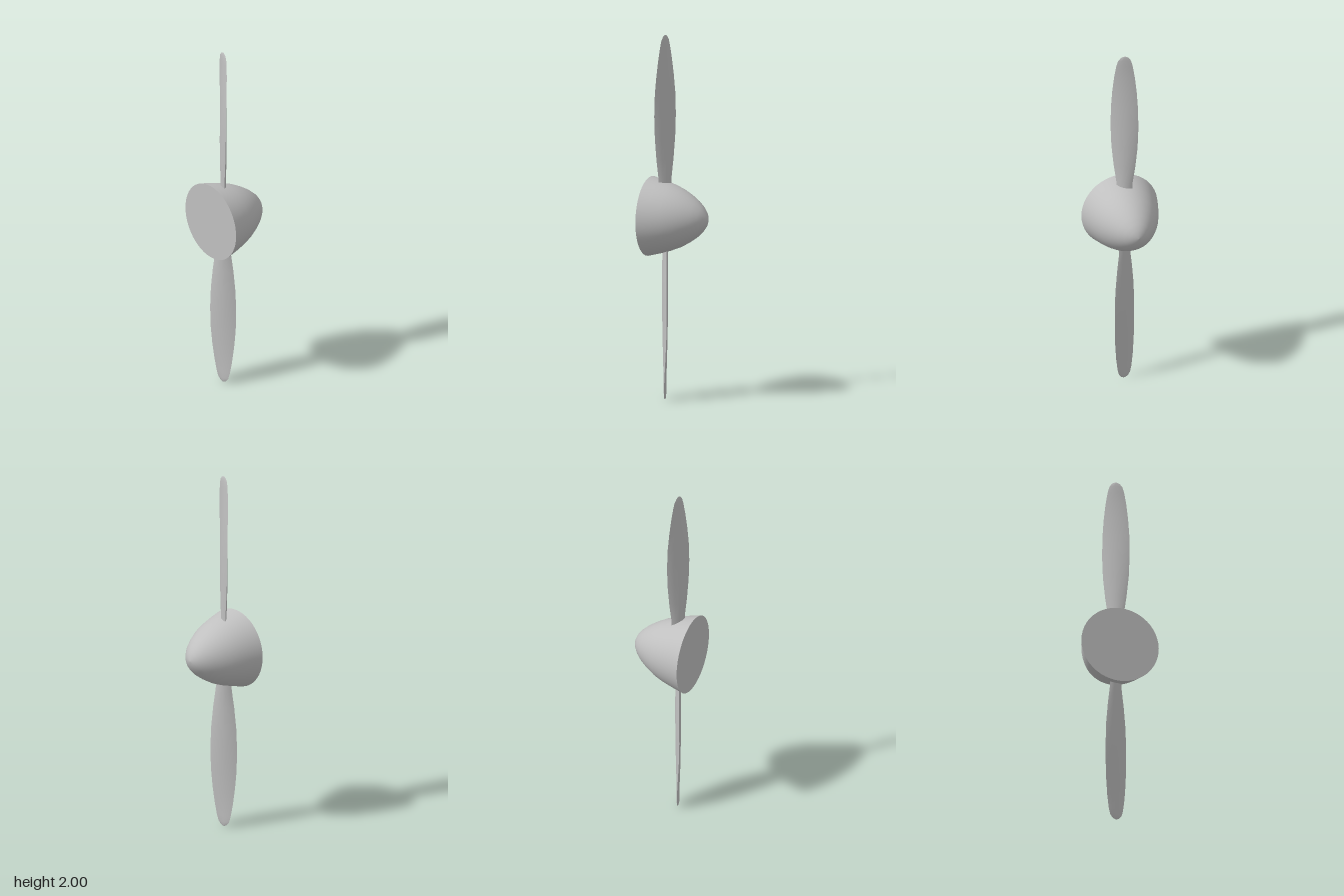
import * as THREE from 'three';
import { toCreasedNormals } from 'three/addons/utils/BufferGeometryUtils.js';

const HUB_Y = 1, BLADE_Z = 0.081;

// One blade pointing up from the hub axis: lens sections whose pitch flattens towards the tip
function bladeGeometry() {
  // height, half width in x, half depth in z, half thickness
  const sections = [
    [0.14, 0.034, 0.021, 0.015], [0.22, 0.039, 0.023, 0.015], [0.32, 0.052, 0.029, 0.016],
    [0.44, 0.063, 0.034, 0.016], [0.56, 0.067, 0.036, 0.015], [0.68, 0.066, 0.033, 0.013],
    [0.78, 0.061, 0.026, 0.011], [0.87, 0.053, 0.018, 0.008], [0.94, 0.043, 0.011, 0.006],
    [0.975, 0.034, 0.007, 0.005], [0.993, 0.02, 0.003, 0.003], [1, 0.006, 0.001, 0.001],
  ];
  const n = 12, pos = [], index = [];
  for (const [y, hx, hz, th] of sections) {
    const len = Math.hypot(hx, hz);
    for (let i = 0; i < n; i++) {
      const a = (i / n) * Math.PI * 2;
      const u = -Math.cos(a), off = th * Math.sign(Math.sin(a)) * (1 - u * u);
      pos.push(u * hx - (off * hz) / len, y, u * hz + (off * hx) / len);
    }
  }
  for (let j = 0; j < sections.length - 1; j++) {
    for (let i = 0; i < n; i++) {
      const a = j * n + i, b = j * n + ((i + 1) % n);
      index.push(a, b, b + n, a, b + n, a + n);
    }
  }
  // Close the tip
  const last = (sections.length - 1) * n;
  for (let i = 1; i < n - 1; i++) index.push(last, last + i, last + i + 1);
  const geo = new THREE.BufferGeometry();
  geo.setAttribute('position', new THREE.Float32BufferAttribute(pos, 3));
  geo.setIndex(index);
  return toCreasedNormals(geo, 0.7);
}

export function createModel() {
  const model = new THREE.Group();
  model.name = 'propeller';
  const grey = new THREE.MeshStandardMaterial({ color: 0xc0c0c0 });
  grey.name = 'light grey';

  const add = (name, geo, z) => {
    const mesh = new THREE.Mesh(geo, grey);
    mesh.name = name;
    mesh.position.set(0, HUB_Y, z);
    model.add(mesh);
    return mesh;
  };

  // Domed spinner, nose towards -z
  const profile = [
    [0.216, -0.167], [0.2, -0.105], [0.182, -0.045], [0.16, 0.01], [0.133, 0.058],
    [0.104, 0.1], [0.073, 0.133], [0.045, 0.153], [0.02, 0.164], [0, 0.167],
  ].map(([r, y]) => new THREE.Vector2(r, y));
  add('spinner', new THREE.LatheGeometry(profile, 48).rotateX(-Math.PI / 2), 0);
  add('spinnerBackplate', new THREE.CircleGeometry(0.216, 48), 0.167);

  // Two opposite blades
  const blade = bladeGeometry();
  ['upperBlade', 'lowerBlade'].forEach((name, k) => {
    add(name, blade, BLADE_Z).rotation.z = k * Math.PI;
  });
  return model;
}
